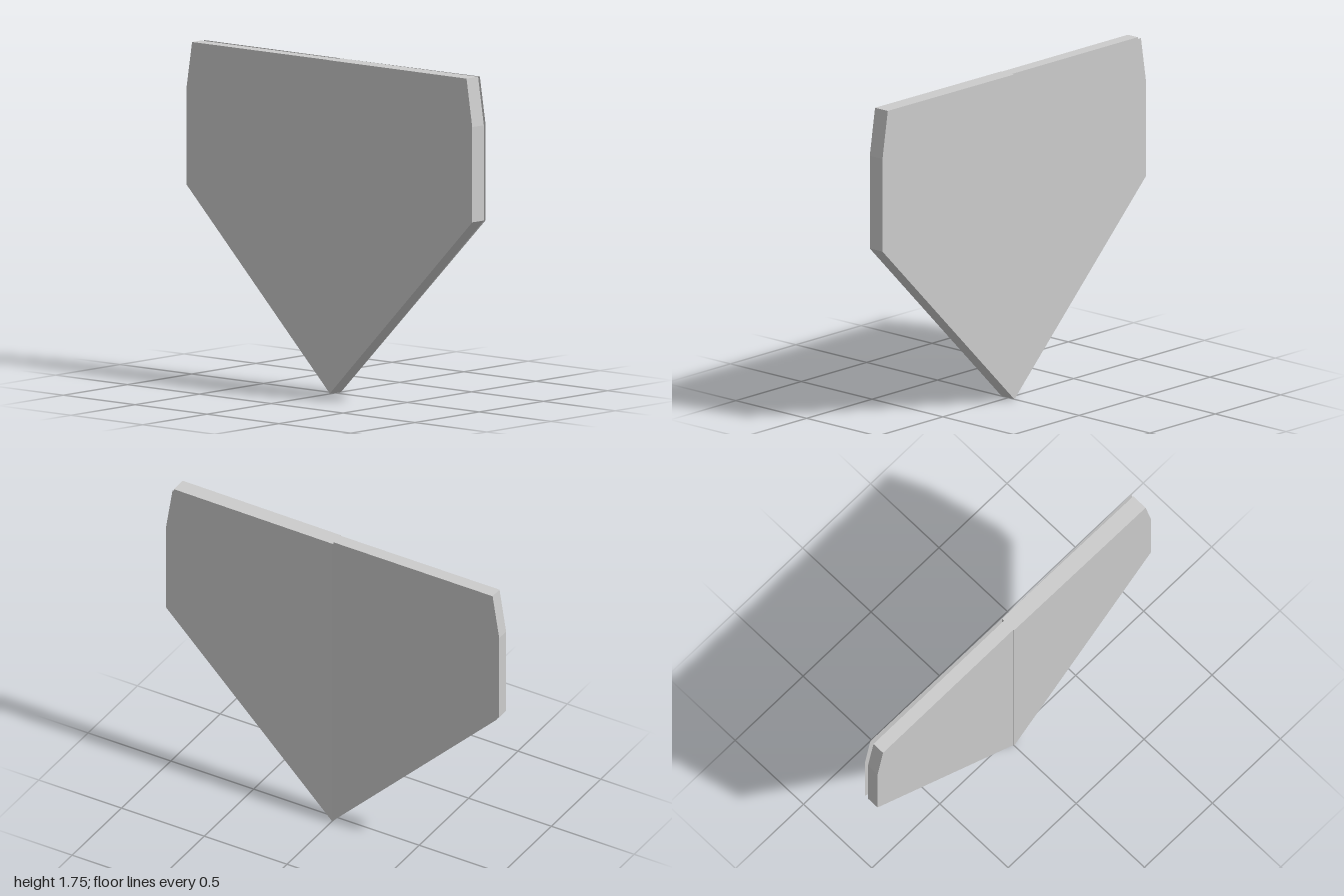
import * as THREE from 'three';

// Half outline: distance from the centre line, height
const half = new THREE.Shape(
  [[0, 0], [1, 1], [1, 1.5], [0.96, 1.75], [0, 1.75]].map(([u, y]) => new THREE.Vector2(u, y))
);

// Slant a geometry sideways: x grows with z by the given slope
function slant(geometry, slope) {
  const p = geometry.attributes.position;
  for (let i = 0; i < p.count; i++) p.setX(i, p.getX(i) + slope * p.getZ(i));
  geometry.computeVertexNormals();
  return geometry;
}

export function createModel() {
  const group = new THREE.Group();
  const solid = new THREE.MeshStandardMaterial({ color: 0xcccccc, flatShading: true });
  const thin = new THREE.MeshStandardMaterial({ color: 0xcccccc, flatShading: true, side: THREE.DoubleSide });

  const add = (name, geometry, material) => {
    const mesh = new THREE.Mesh(geometry, material);
    mesh.name = name;
    group.add(mesh);
  };

  // Thick front slab, turned slightly about the centre line
  const front = new THREE.ExtrudeGeometry(half, { depth: 0.09, bevelEnabled: false });
  front.rotateY(-Math.PI / 2).translate(0.043, 0, 0);
  add('frontSlab', slant(front, -0.007), solid);

  // Thinner, straight back slab
  const back = new THREE.ExtrudeGeometry(half, { depth: 0.07, bevelEnabled: false });
  back.rotateY(Math.PI / 2).translate(-0.042, 0, 0);
  add('backSlab', back, solid);

  // Thin cover sheets on the left side, flaring away from the slabs
  for (const side of [1, -1]) {
    const sheet = new THREE.ShapeGeometry(half);
    sheet.rotateY(-side * Math.PI / 2).translate(0.0435, 0, 0);
    add(side > 0 ? 'frontCoverSheet' : 'backCoverSheet', slant(sheet, side * 0.007), thin);
  }
  return group;
}
